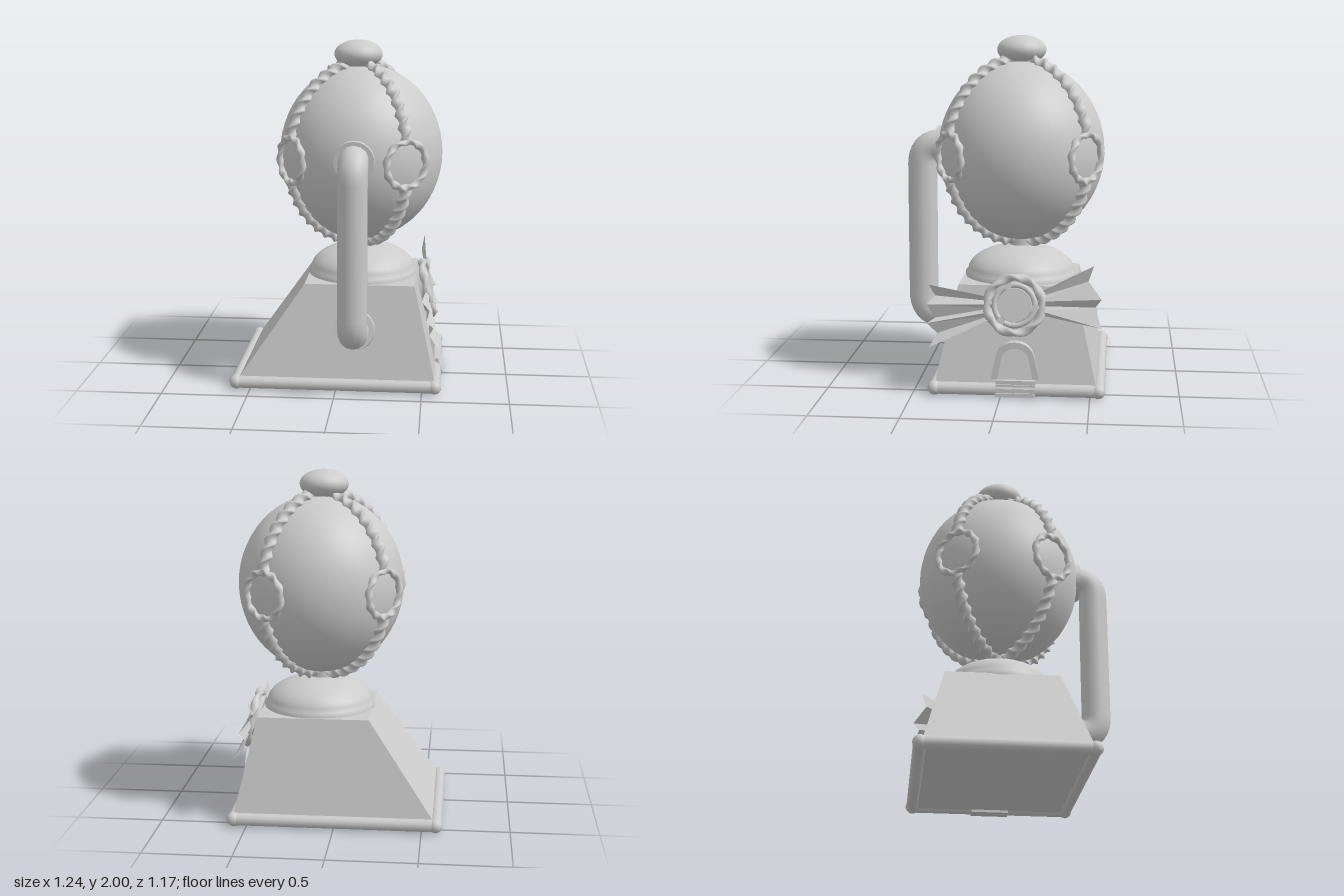
import * as THREE from 'three';

const grey = new THREE.MeshStandardMaterial({ color: 0xcccccc });
const thin = new THREE.MeshStandardMaterial({ color: 0xcccccc, side: THREE.DoubleSide });
const V = (x, y, z) => new THREE.Vector3(x, y, z);
const CX = 0.115, CZ = -0.08, CY = 1.34; // globe centre

function add(parent, name, geometry, x = 0, y = 0, z = 0, material = grey) {
  const mesh = new THREE.Mesh(geometry, material);
  mesh.name = name;
  mesh.position.set(x, y, z);
  parent.add(mesh);
  return mesh;
}

// Sweeps an oval section along a curve while twisting it, giving a rope
function ropeGeometry(curve, steps, turns, a, b, closed = false) {
  const sides = 10, pos = [], idx = [];
  const f = curve.computeFrenetFrames(steps, closed);
  for (let i = 0; i <= steps; i++) {
    const p = curve.getPointAt(i / steps), tw = (i / steps) * turns * Math.PI * 2;
    for (let j = 0; j < sides; j++) {
      const t = (j / sides) * Math.PI * 2, u = a * Math.cos(t), v = b * Math.sin(t);
      const q = p.clone()
        .addScaledVector(f.normals[i], u * Math.cos(tw) - v * Math.sin(tw))
        .addScaledVector(f.binormals[i], u * Math.sin(tw) + v * Math.cos(tw));
      pos.push(q.x, q.y, q.z);
      if (i < steps) {
        const k = i * sides + j, l = i * sides + (j + 1) % sides;
        idx.push(k, l, k + sides, l, l + sides, k + sides);
      }
    }
  }
  const g = new THREE.BufferGeometry();
  g.setAttribute('position', new THREE.Float32BufferAttribute(pos, 3));
  g.setIndex(idx);
  g.computeVertexNormals();
  return g;
}

const circle = (r) => new THREE.CatmullRomCurve3(
  Array.from({ length: 16 }, (_, i) => V(r * Math.cos(i * Math.PI / 8), r * Math.sin(i * Math.PI / 8), 0)), true);

// Pleated ribbon fan from a narrow root to zigzag tips
function fanGeometry(rootX, rootY, rootHalf, tips) {
  const pos = [], idx = [], n = tips.length;
  tips.forEach(([x, y], i) => {
    const z = i % 2 ? -0.018 : 0.018;
    pos.push(rootX, rootY + rootHalf * (1 - 2 * i / (n - 1)), z * 0.4, x, y, z);
    if (i < n - 1) idx.push(2 * i, 2 * i + 2, 2 * i + 1, 2 * i + 1, 2 * i + 2, 2 * i + 3);
  });
  let g = new THREE.BufferGeometry();
  g.setAttribute('position', new THREE.Float32BufferAttribute(pos, 3));
  g.setIndex(idx);
  g = g.toNonIndexed();
  g.computeVertexNormals();
  return g;
}

function addBase(root) {
  // Lopsided truncated pyramid
  const body = new THREE.BoxGeometry(1, 1, 1), p = body.attributes.position;
  for (let i = 0; i < p.count; i++) {
    const top = p.getY(i) > 0, right = p.getX(i) > 0, front = p.getZ(i) > 0;
    p.setXYZ(i,
      right ? (top ? 0.45 : 0.585) : (top ? -0.19 : -0.595),
      top ? 0.61 : 0.025,
      front ? (top ? 0.25 : 0.38) : (top ? -0.41 : -0.545));
  }
  body.computeVertexNormals();
  add(root, 'baseBody', body);

  // Rounded rim with swollen corners
  const rim = new THREE.Group();
  rim.name = 'baseRim';
  root.add(rim);
  const c = [V(-0.58, 0.043, 0.373), V(0.573, 0.043, 0.373), V(0.573, 0.043, -0.547), V(-0.58, 0.043, -0.547)];
  c.forEach((a, i) => {
    add(rim, 'rimSide', new THREE.TubeGeometry(new THREE.LineCurve3(a, c[(i + 1) % 4]), 1, 0.036, 12));
    add(rim, 'rimCorner', new THREE.SphereGeometry(0.041, 12, 10), a.x, a.y, a.z);
  });

  // Domed pedestal and neck
  const dome = [[0.325, 0.6], [0.325, 0.63]];
  for (let i = 0; i <= 8; i++) {
    const t = i / 8 * 1.35;
    dome.push([0.312 * Math.cos(t), 0.635 + 0.155 * Math.sin(t)]);
  }
  dome.push([0, 0.79]);
  add(root, 'pedestalDome', new THREE.LatheGeometry(dome.map((q) => new THREE.Vector2(...q)), 32), CX + 0.012, 0, CZ);
  add(root, 'neck', new THREE.CylinderGeometry(0.068, 0.068, 0.1, 20), CX, 0.81, CZ);
}

function addGlobe(root) {
  add(root, 'globe', new THREE.SphereGeometry(0.48, 40, 28), CX, CY, CZ).scale.y = 1.08;
  add(root, 'topKnob', new THREE.SphereGeometry(0.142, 20, 14), 0.097, 1.917, CZ).scale.y = 0.585;

  // Four rope harness lines, each with a ring at the equator
  const azimuths = [0.94, -0.94, Math.PI - 0.63, Math.PI + 0.63];
  azimuths.forEach((az) => {
    const g = new THREE.Group();
    g.name = 'ropeHarness';
    g.position.set(CX, CY, CZ);
    g.rotation.y = Math.PI / 2 - az; // local +z points outward
    root.add(g);
    const meridian = (from, to) => new THREE.CatmullRomCurve3(Array.from({ length: 9 }, (_, i) => {
      const t = from + (to - from) * i / 8;
      return V(0, 0.526 * Math.cos(t), 0.488 * Math.sin(t));
    }));
    add(g, 'upperRope', ropeGeometry(meridian(0.12, 1.32), 72, 4, 0.041, 0.023));
    add(g, 'lowerRope', ropeGeometry(meridian(1.86, 3.0), 72, 4, 0.041, 0.023));
    add(g, 'ropeRing', ropeGeometry(circle(0.132), 96, 5, 0.024, 0.014, true), 0, -0.01, 0.475);
  });
}

function addPipe(root) {
  // Bent pipe joining the globe to the base
  const x = 0.107, z = 0.5, top = 1.37, low = 0.36, r = 0.12;
  const path = new THREE.CurvePath();
  path.add(new THREE.LineCurve3(V(x, top, 0.3), V(x, top, z - r)));
  path.add(new THREE.QuadraticBezierCurve3(V(x, top, z - r), V(x, top, z), V(x, top - r, z)));
  path.add(new THREE.LineCurve3(V(x, top - r, z), V(x, low + r, z)));
  path.add(new THREE.QuadraticBezierCurve3(V(x, low + r, z), V(x, low, z), V(x, low, z - r)));
  path.add(new THREE.LineCurve3(V(x, low, z - r), V(x, low, 0.26)));
  add(root, 'pipe', new THREE.TubeGeometry(path, 60, 0.086, 14));
  const flange = new THREE.CylinderGeometry(0.115, 0.12, 0.05, 24).rotateX(Math.PI / 2);
  add(root, 'upperFlange', flange, x, 1.36, 0.385);
  add(root, 'lowerFlange', flange, x, 0.36, 0.32).rotation.x = -0.23;
}

function addBow(root) {
  // Rosette lying on the sloping right-hand wall
  const bow = new THREE.Group();
  bow.name = 'bow';
  bow.position.set(0.522, 0.515, -0.075);
  bow.rotation.set(-0.222, Math.PI / 2, 0, 'YXZ');
  root.add(bow);
  add(bow, 'outerRing', ropeGeometry(circle(0.155), 96, 4, 0.028, 0.018, true));
  for (let i = 0; i < 3; i++) {
    add(bow, 'innerArc', new THREE.TorusGeometry(0.113, 0.016, 8, 16, 1.75)).rotation.z = i * Math.PI * 2 / 3;
  }
  add(bow, 'medallion', new THREE.CylinderGeometry(0.095, 0.1, 0.03, 28).rotateX(Math.PI / 2));
  add(bow, 'bowBack', new THREE.CylinderGeometry(0.14, 0.14, 0.03, 28).rotateX(Math.PI / 2), 0, 0, -0.025);
  add(bow, 'ribbonFan', fanGeometry(0.13, 0.01, 0.06,
    [[0.44, 0.225], [0.41, 0.14], [0.485, 0.04], [0.45, -0.005], [0.485, -0.12], [0.44, -0.07]]), 0, 0, 0, thin);
  add(bow, 'ribbonFan', fanGeometry(-0.13, -0.02, 0.06,
    [[-0.485, 0.105], [-0.45, 0.045], [-0.495, -0.005], [-0.45, -0.08], [-0.49, -0.11], [-0.435, -0.165],
      [-0.475, -0.245]]), 0, 0, 0, thin);
}

function addDoorway(root) {
  // Arched frame standing out of the slope
  const s = new THREE.Shape();
  s.moveTo(-0.142, 0.07);
  s.lineTo(-0.108, 0.23);
  s.bezierCurveTo(-0.085, 0.34, 0.085, 0.34, 0.108, 0.23);
  s.lineTo(0.142, 0.07);
  s.lineTo(0.105, 0.07);
  s.lineTo(0.076, 0.22);
  s.bezierCurveTo(0.06, 0.295, -0.06, 0.295, -0.076, 0.22);
  s.lineTo(-0.105, 0.07);
  s.closePath();
  const frame = new THREE.ExtrudeGeometry(s, { depth: 0.1, bevelEnabled: false, curveSegments: 10 });
  add(root, 'doorFrame', frame, 0.468, 0, -0.08).rotation.y = Math.PI / 2;

  // Small flight of steps crossing the rim
  for (let i = 0; i < 4; i++) {
    const front = 0.617 - i * 0.008, h = 0.022;
    add(root, 'doorStep', new THREE.BoxGeometry(front - 0.53, h, 0.22), (front + 0.53) / 2, 0.021 + i * h, -0.085);
  }
}

export function createModel() {
  const model = new THREE.Group();
  model.name = 'globeOnPedestal';
  [addBase, addGlobe, addPipe, addBow, addDoorway].forEach((build) => build(model));
  return model;
}
